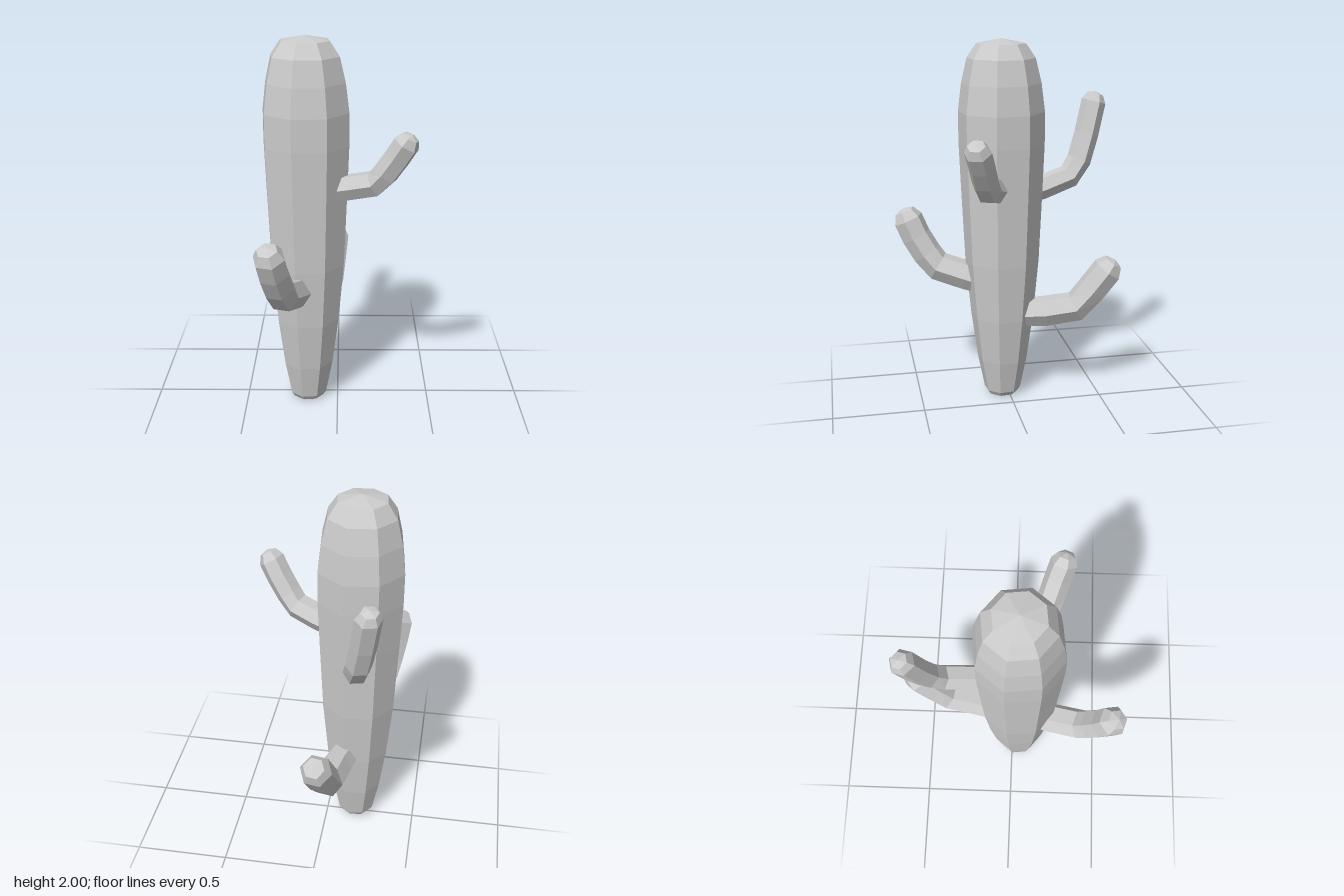
import * as THREE from 'three';

const material = new THREE.MeshStandardMaterial({ color: 0xcccccc, flatShading: true });
const SIDES = 6;

// Hexagonal limb swept along a path with a flat face on top, closed by a faceted dome.
function limbGeometry(path, radius) {
  const pts = path.map(p => new THREE.Vector3(...p));
  const last = pts.length - 1;
  const run = pts[last].clone().sub(pts[0]);
  const side = new THREE.Vector3(run.z, 0, -run.x).normalize();
  const tangents = pts.map((p, i) => pts[Math.min(i + 1, last)].clone()
    .sub(pts[Math.max(i - 1, 0)]).normalize());
  const rings = pts.map((p, i) => ({ c: p, t: tangents[i], r: i === 0 ? radius * 0.92 : radius }));
  const tip = along => pts[last].clone().addScaledVector(tangents[last], radius * along);
  rings.push({ c: tip(0.62), t: tangents[last], r: radius * 0.66 });

  const pos = [], index = [];
  for (const { c, t, r } of rings) {
    const up = new THREE.Vector3().crossVectors(t, side).normalize();
    for (let k = 0; k < SIDES; k++) {
      const a = k / SIDES * Math.PI * 2;
      const v = c.clone().addScaledVector(side, Math.cos(a) * r).addScaledVector(up, Math.sin(a) * r);
      pos.push(v.x, v.y, v.z);
    }
  }
  for (let i = 0; i < rings.length - 1; i++) {
    for (let k = 0; k < SIDES; k++) {
      const a = i * SIDES + k, b = i * SIDES + (k + 1) % SIDES;
      index.push(a, b, b + SIDES, a, b + SIDES, a + SIDES);
    }
  }
  // end caps: base hidden in the trunk, apex on the tip
  const base = rings.length * SIDES, top = base + 1, ring = base - SIDES;
  pos.push(...pts[0].toArray(), ...tip(0.82).toArray());
  for (let k = 0; k < SIDES; k++) {
    const n = (k + 1) % SIDES;
    index.push(base, n, k, top, ring + k, ring + n);
  }
  const g = new THREE.BufferGeometry();
  g.setAttribute('position', new THREE.Float32BufferAttribute(pos, 3));
  g.setIndex(index);
  g.computeVertexNormals();
  return g;
}

export function createModel() {
  const cactus = new THREE.Group();
  cactus.name = 'cactus';

  // Eight-sided trunk, narrow at the foot and domed on top
  const profile = [
    [0, 0], [0.085, 0.005], [0.102, 0.03], [0.14, 0.22], [0.175, 0.48], [0.204, 0.8],
    [0.222, 1.2], [0.232, 1.45], [0.232, 1.62], [0.213, 1.77], [0.182, 1.9], [0.13, 1.975], [0, 2]
  ].map(([r, y]) => new THREE.Vector2(r, y));
  const trunk = new THREE.Mesh(
    new THREE.LatheGeometry(profile, 8, THREE.MathUtils.degToRad(29)), material);
  trunk.name = 'trunk';
  trunk.position.set(-0.163, 0, 0.033);
  cactus.add(trunk);

  // Arms grow outward, then bend upward
  const arms = [
    ['frontArm', 0.083, [[-0.19, 0.66, 0.11], [-0.225, 0.695, 0.22], [-0.27, 0.745, 0.375],
      [-0.29, 0.82, 0.435], [-0.31, 0.915, 0.49], [-0.325, 1.01, 0.53]]],
    ['leftArm', 0.07, [[-0.05, 1.215, 0.08], [0.06, 1.24, 0.115], [0.19, 1.275, 0.165],
      [0.24, 1.335, 0.19], [0.295, 1.42, 0.215], [0.34, 1.5, 0.24]]],
    ['upperBackArm', 0.067, [[-0.16, 1.17, -0.08], [-0.17, 1.19, -0.18], [-0.195, 1.245, -0.35],
      [-0.215, 1.33, -0.412], [-0.24, 1.47, -0.458], [-0.265, 1.645, -0.503]]],
    ['lowerBackArm', 0.086, [[-0.11, 0.495, -0.08], [-0.08, 0.505, -0.2], [-0.055, 0.53, -0.365],
      [-0.04, 0.63, -0.45], [-0.025, 0.745, -0.535]]]
  ];
  for (const [name, radius, path] of arms) {
    const arm = new THREE.Mesh(limbGeometry(path, radius), material);
    arm.name = name;
    cactus.add(arm);
  }
  return cactus;
}
